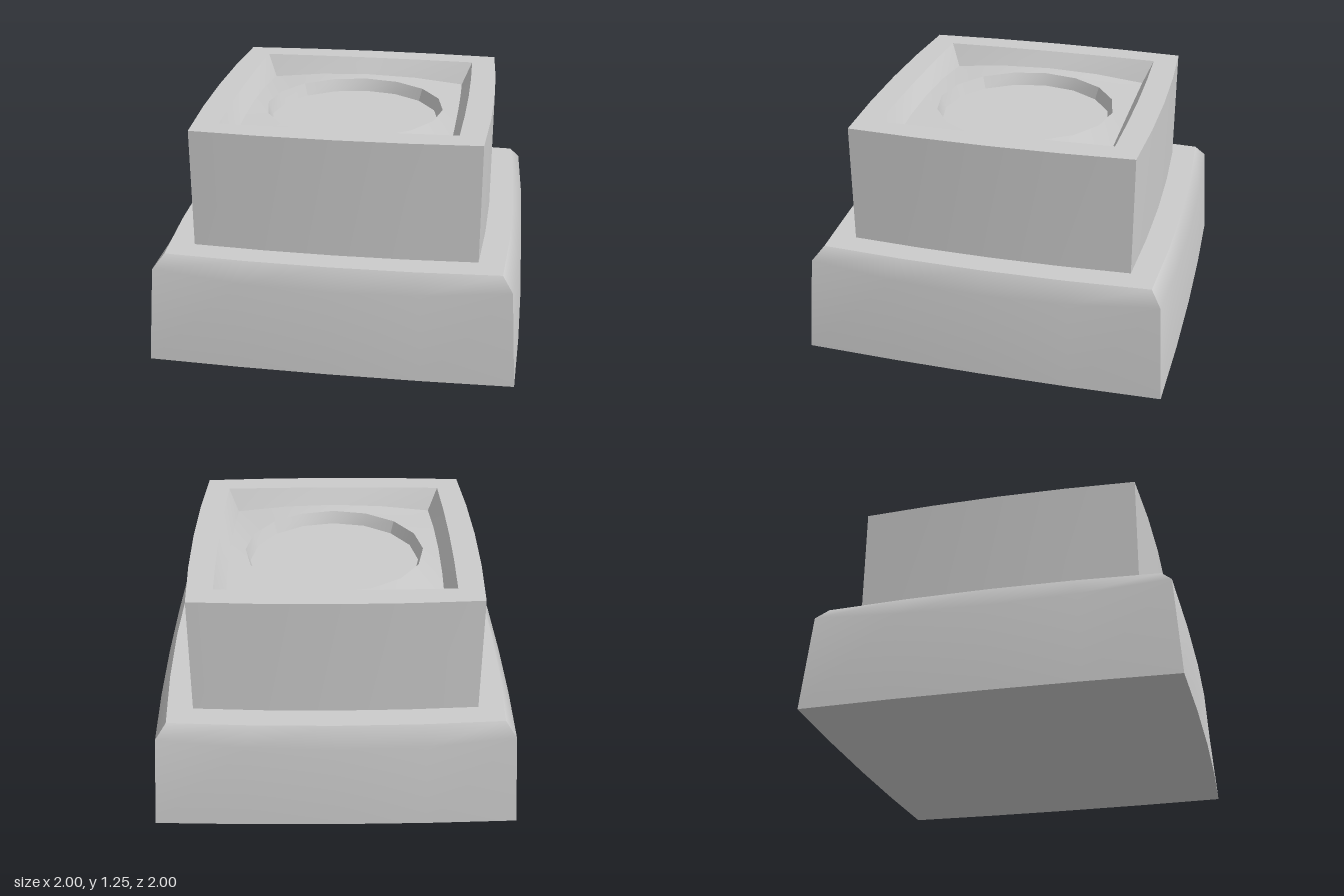
import * as THREE from 'three';

const SEG = 4; // segments along each bowed side

// Square ring with bowed sides: half size at the corner / middle, height at the corner / middle
const ring = (corner, mid, yCorner, yMid = yCorner) => (t) => {
  const bow = 1 - t * t;
  return [corner * t, yCorner + (yMid - yCorner) * bow, corner + (mid - corner) * bow];
};

// Circular ring, one quarter per side
const circle = (r, y) => (t) => [r * Math.sin(t * Math.PI / 4), y, r * Math.cos(t * Math.PI / 4)];

// Smooth strip through the rings for one of the four sides
function sidePanel(rings) {
  const pos = [], index = [], w = SEG + 1;
  rings.forEach((f, i) => {
    for (let j = 0; j <= SEG; j++) {
      pos.push(...f(-1 + 2 * j / SEG));
      if (i + 1 < rings.length && j < SEG) {
        const a = i * w + j, c = a + w;
        index.push(a, a + 1, c + 1, a, c + 1, c);
      }
    }
  });
  const g = new THREE.BufferGeometry();
  g.setAttribute('position', new THREE.Float32BufferAttribute(pos, 3));
  g.setIndex(index);
  g.computeVertexNormals();
  return g;
}

export function createModel() {
  const model = new THREE.Group();
  const mat = new THREE.MeshStandardMaterial({ color: 0xcccccc });

  // Four copies of a side panel, creased at the corners
  const addBand = (name, ...rings) => {
    const band = new THREE.Group();
    band.name = name;
    const g = sidePanel(rings);
    for (let k = 0; k < 4; k++) {
      const m = new THREE.Mesh(g, mat);
      m.name = name + 'Side';
      m.rotation.y = k * Math.PI / 2;
      band.add(m);
    }
    model.add(band);
  };

  const foot = ring(0.98, 1, 0);
  const shoulder = ring(0.945, 0.978, 0.53, 0.48);
  const ledge = ring(0.89, 0.925, 0.6);
  const blockFoot = ring(0.76, 0.787, 0.6);
  const blockTop = ring(0.76, 0.787, 1.25);
  const recessRim = ring(0.63, 0.643, 1.25);
  const recessFoot = ring(0.575, 0.587, 1.125, 1.16);
  const dishRim = circle(0.5, 1.16);
  const dishFoot = circle(0.475, 1.09);

  // Tapered base with softened shoulder
  addBand('base', foot, shoulder, ledge);
  addBand('baseLedge', ledge, blockFoot);

  // Upper block with its sunken top
  addBand('upperBlock', blockFoot, blockTop);
  addBand('topRim', blockTop, recessRim);
  addBand('recessWall', recessRim, recessFoot);
  addBand('recessFloor', recessFoot, dishRim);

  // Round dish in the recess
  addBand('dishWall', dishRim, dishFoot);
  const dish = new THREE.Mesh(new THREE.CircleGeometry(0.475, 4 * SEG), mat);
  dish.name = 'dishFloor';
  dish.rotation.x = -Math.PI / 2;
  dish.position.y = 1.09;
  model.add(dish);

  // Flat underside
  const outline = [];
  for (let k = 0; k < 4; k++) {
    for (let j = 0; j < SEG; j++) {
      const [x, , z] = foot(-1 + 2 * j / SEG);
      outline.push(new THREE.Vector2(x, z).rotateAround(new THREE.Vector2(), -k * Math.PI / 2));
    }
  }
  const underside = new THREE.Mesh(new THREE.ShapeGeometry(new THREE.Shape(outline)), mat);
  underside.name = 'underside';
  underside.rotation.x = Math.PI / 2;
  model.add(underside);

  return model;
}
